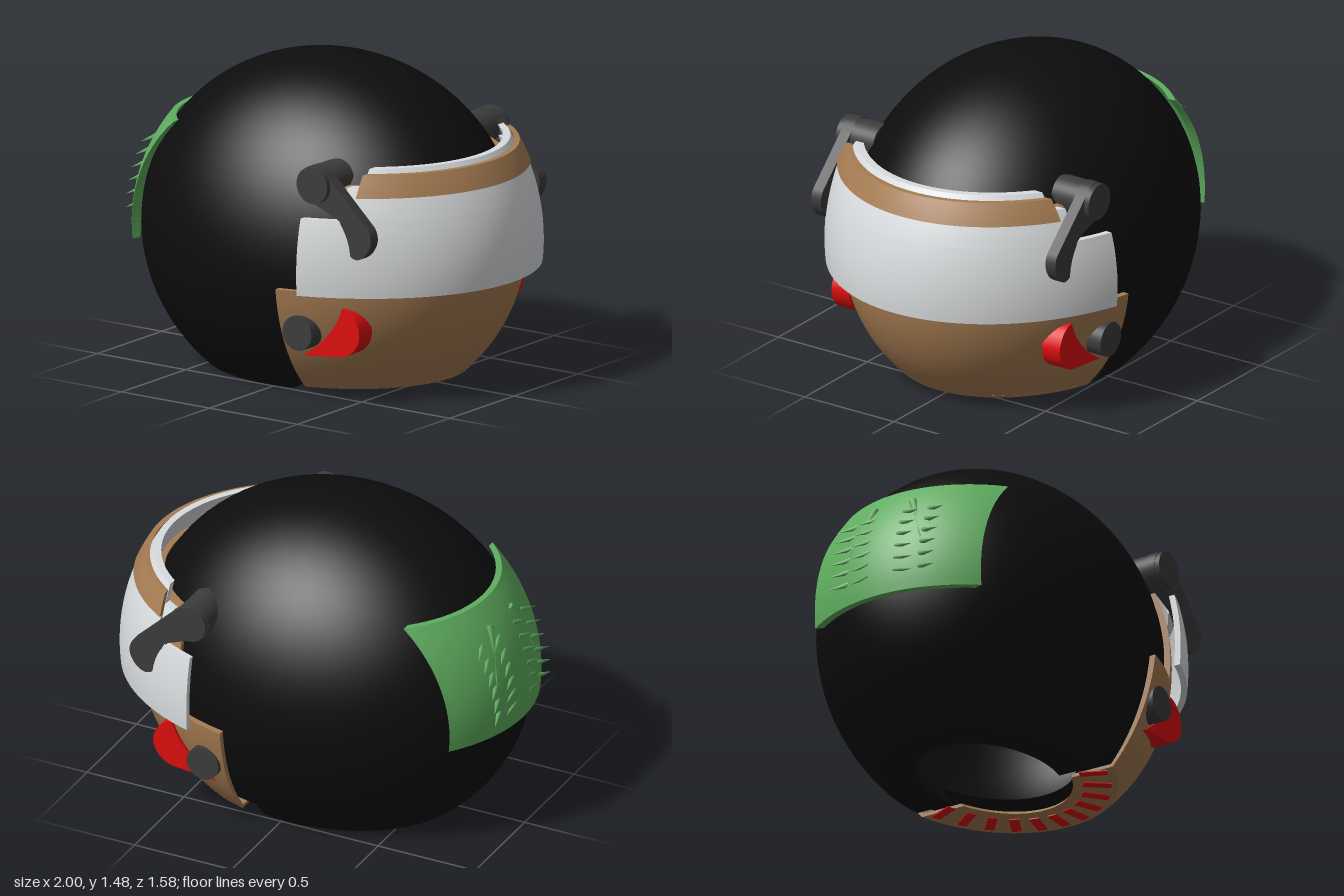
import * as THREE from 'three';
import { toCreasedNormals } from 'three/addons/utils/BufferGeometryUtils.js';

const CX = -0.04, CY = 0.637; // centre shared by all the shells

const mat = (name, color, side = THREE.FrontSide) => {
  const m = new THREE.MeshStandardMaterial({ color, side });
  m.name = name;
  return m;
};

// Thick patch of an ellipsoid between two heights; half(a, c, r, inner) is its half angle around mid
function patch({ a, b, c, t, y0, y1, mid = 0, half, rows = 14, cols = 64 }) {
  const pos = [];
  const point = (i, j, inner) => {
    const y = y0 + (y1 - y0) * i / rows;
    const r = Math.sqrt(1 - ((y - CY) / b) ** 2);
    const A = inner ? a - t : a, C = inner ? c - t : c;
    const f = mid + half(A, C, r, inner) * (2 * j / cols - 1);
    return [CX + A * r * Math.cos(f), y, C * r * Math.sin(f)];
  };
  const loops = [];
  for (let j = 0; j <= cols; j++) {
    const loop = [];
    for (let i = 0; i <= rows; i++) loop.push(point(i, j, false));
    for (let i = rows; i >= 0; i--) loop.push(point(i, j, true));
    loops.push(loop);
  }
  const quad = (p, q, r, s) => pos.push(...p, ...q, ...r, ...p, ...r, ...s);
  const n = 2 * rows + 2;
  for (let j = 0; j < cols; j++)
    for (let k = 0; k < n; k++) {
      const m = (k + 1) % n;
      quad(loops[j][k], loops[j][m], loops[j + 1][m], loops[j + 1][k]);
    }
  const s = loops[0], e = loops[cols];
  for (let i = 0; i < rows; i++) {
    const q = n - 1 - i;
    quad(s[i], s[q], s[q - 1], s[i + 1]);
    quad(e[i], e[i + 1], e[q - 1], e[q]);
  }
  const g = new THREE.BufferGeometry();
  g.setAttribute('position', new THREE.Float32BufferAttribute(pos, 3));
  return toCreasedNormals(g, 0.6);
}

// Patch limits: ahead of a plane x, behind a plane x, or within |z|
const ahead = x => (a, c, r) => Math.acos((x - CX) / (a * r));
const behind = x => (a, c, r) => Math.PI - Math.acos((x - CX) / (a * r));
const within = (zo, zi) => (a, c, r, inner) => Math.asin((inner ? zi : zo) / (c * r));

export function createModel() {
  const group = new THREE.Group();
  group.name = 'helmet';
  const black = mat('shell black', 0x0d0d0d, THREE.DoubleSide);
  const brown = mat('guard brown', 0xa67c52);
  const white = mat('visor white', 0xdadddf);
  const grey = mat('hinge grey', 0x3c3c3c);
  const red = mat('accent red', 0xdd0d0d);
  const green = mat('plate green', 0x5fae5f);
  const add = (name, geo, material) => {
    const m = new THREE.Mesh(geo, material);
    m.name = name;
    group.add(m);
    return m;
  };

  // Black dome with a hollow inside and a neck opening
  const profile = [];
  const arc = (R, b, from, to, n) => {
    for (let i = 0; i <= n; i++) {
      const t = from + (to - from) * i / n;
      profile.push(new THREE.Vector2(Math.max(0, R * Math.cos(t)), CY + b * Math.sin(t)));
    }
  };
  arc(0.9, 0.76, Math.PI / 2, Math.asin(-0.537 / 0.76), 24);
  profile.push(new THREE.Vector2(0.49, 0.1));
  arc(1, 0.843, Math.asin(-0.537 / 0.843), Math.PI / 2, 40);
  const dome = new THREE.LatheGeometry(profile, 80);
  dome.scale(0.93, 1, 0.745).translate(CX, 0, 0);
  add('domeShell', toCreasedNormals(dome, 0.6), black);
  add('rearNeckRim', patch({ a: 0.93, b: 0.843, c: 0.745, t: 0.28, y0: 0, y1: 0.1, half: behind(0.09), mid: Math.PI, rows: 4 }), black);

  // Brown chin guard, its lining behind the visor and its underside
  const chin = { a: 0.96, b: 0.86, c: 0.775, t: 0.03 };
  add('chinGuard', patch({ ...chin, y0: 0.03, y1: 0.54, half: ahead(0.19) }), brown);
  add('visorLining', patch({ ...chin, y0: 0.54, y1: 1.03, half: ahead(0.45) }), brown);
  add('chinUnderside', patch({ ...chin, t: 0.3, y0: 0.029, y1: 0.045, half: ahead(0.19), rows: 1 }), brown);

  // White visor with stepped sides, inner lip and brown brow band
  const visor = { a: 1.04, b: 0.97, c: 0.85, t: 0.03 };
  add('visor', patch({ ...visor, y0: 0.54, y1: 0.9, half: ahead(0.34) }), white);
  add('visorTop', patch({ ...visor, y0: 0.9, y1: 1.0, half: ahead(0.56), rows: 4 }), white);
  const lip = { a: 1.02, b: 0.95, c: 0.83, t: 0.04, rows: 5 };
  add('visorLipBase', patch({ ...lip, y0: 0.9, y1: 1.04, half: ahead(0.5) }), white);
  add('visorLip', patch({ ...lip, y0: 1.04, y1: 1.12, half: ahead(0.56) }), white);
  add('browBand', patch({ a: 1.05, b: 0.97, c: 0.86, t: 0.03, y0: 1.0, y1: 1.1, half: ahead(0.56), rows: 4 }), brown);

  // Hinge arm outline
  const arm = new THREE.Shape();
  arm.moveTo(0.37, 1.14);
  arm.absarc(0.37, 1.05, 0.09, Math.PI / 2, Math.PI * 1.35, false);
  arm.lineTo(0.49, 0.91);
  arm.quadraticCurveTo(0.56, 0.84, 0.57, 0.74);
  arm.quadraticCurveTo(0.61, 0.71, 0.655, 0.755);
  arm.quadraticCurveTo(0.71, 0.82, 0.67, 0.88);
  arm.lineTo(0.44, 1.1);
  arm.quadraticCurveTo(0.41, 1.14, 0.37, 1.14);

  // Red swoosh outline
  const fin = new THREE.Shape();
  fin.moveTo(0.27, 0.217);
  fin.lineTo(0.49, 0.24);
  fin.bezierCurveTo(0.57, 0.26, 0.61, 0.34, 0.575, 0.405);
  fin.quadraticCurveTo(0.55, 0.46, 0.49, 0.47);
  fin.quadraticCurveTo(0.45, 0.33, 0.27, 0.217);

  const plate = (name, shape, z0, z1, side, material) => {
    const g = new THREE.ExtrudeGeometry(shape, { depth: z1 - z0, bevelEnabled: false, curveSegments: 12 });
    add(name, toCreasedNormals(g, 0.6), material).position.z = side > 0 ? z0 : -z1;
  };
  const pin = (name, x, y, r, z0, z1, side) => {
    const g = new THREE.CylinderGeometry(r, r, z1 - z0, 32).rotateX(Math.PI / 2);
    add(name, g, grey).position.set(x, y, side * (z0 + z1) / 2);
  };
  for (const side of [1, -1]) {
    plate('hingeArm', arm, 0.63, 0.685, side, grey);
    pin('hingePivot', 0.37, 1.05, 0.087, 0.5, 0.71, side);
    pin('chinBolt', 0.293, 0.34, 0.082, 0.58, 0.72, side);
    plate('chinFin', fin, 0.54, 0.64, side, red);
  }

  // Red bars fanned under the chin
  for (let i = -5; i <= 5; i++) {
    const f = i * 0.23;
    const bar = add('chinBar', new THREE.BoxGeometry(0.13, 0.006, 0.045), red);
    bar.position.set(CX + 0.59 * Math.cos(f), 0.027, 0.445 * Math.sin(f));
    bar.rotation.y = -f;
  }

  // Green rear plate
  add('rearPlate', patch({ a: 0.96, b: 0.865, c: 0.82, t: 0.035, y0: 0.56, y1: 1.15, mid: Math.PI, half: within(0.45, 0.41), cols: 40 }), green);

  // Small spikes and a slanted stem on each half of the rear plate
  const surfaceX = (y, z) => CX - 0.96 * Math.sqrt(1 - ((y - CY) / 0.865) ** 2 - (z / 0.82) ** 2);
  const spike = (name, from, to, r) => {
    const d = to.clone().sub(from);
    const m = add(name, new THREE.ConeGeometry(r, d.length(), 6), green);
    m.position.copy(from).addScaledVector(d, 0.5);
    m.quaternion.setFromUnitVectors(new THREE.Vector3(0, 1, 0), d.normalize());
  };
  for (const side of [1, -1]) {
    for (let i = 0; i < 6; i++)
      for (const z of [0.07, 0.19]) {
        const y = 0.67 + i * 0.065, x = surfaceX(y, z);
        spike('rearSpike', new THREE.Vector3(x + 0.01, y, side * z),
          new THREE.Vector3(Math.max(x - 0.025, -0.995), y - 0.02, side * (z + 0.1)), 0.014);
      }
    spike('rearStem', new THREE.Vector3(surfaceX(1.06, 0.1), 1.06, side * 0.1),
      new THREE.Vector3(surfaceX(0.8, 0.2) - 0.01, 0.8, side * 0.2), 0.02);
  }
  return group;
}
